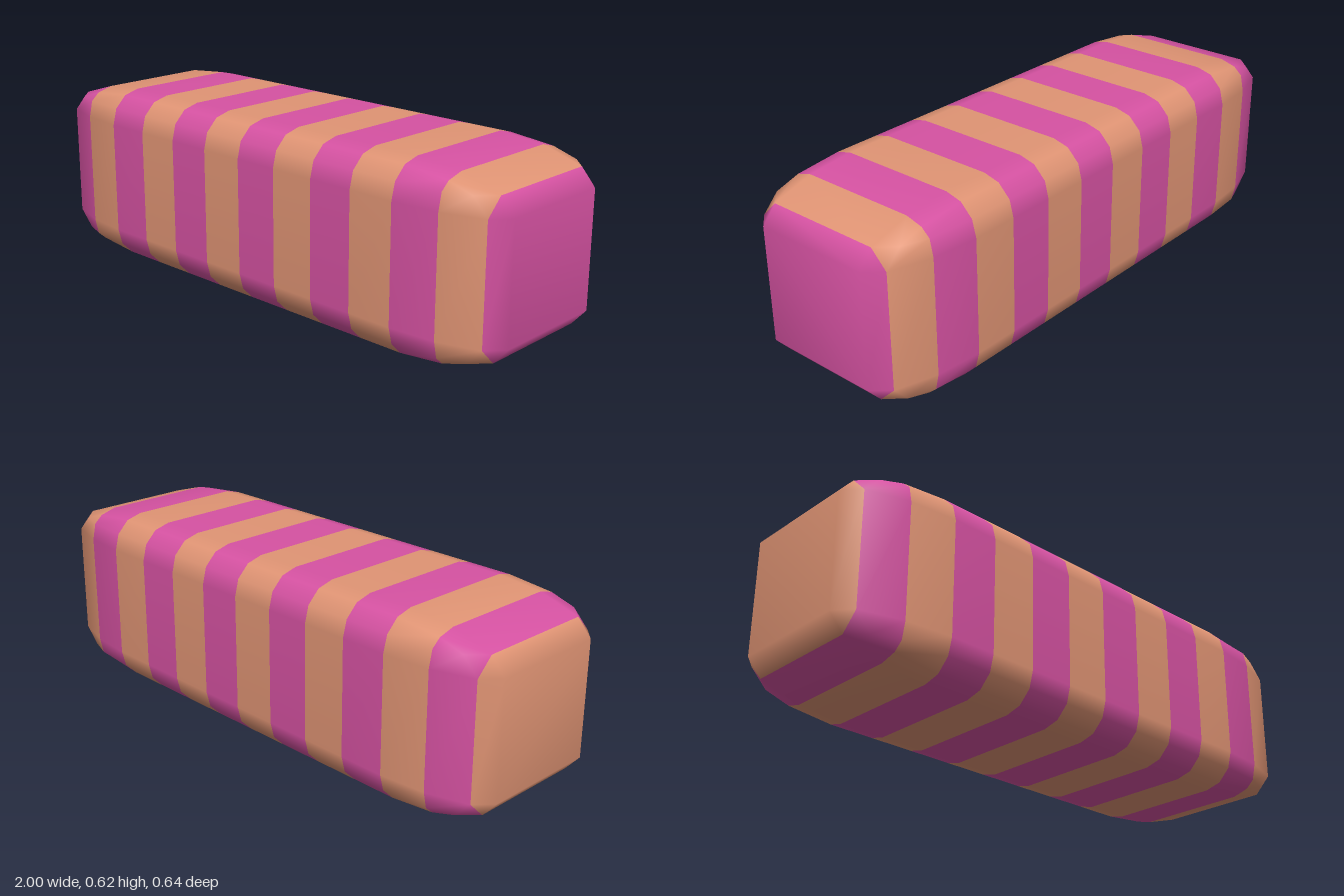
import * as THREE from 'three';
import { mergeVertices } from 'three/addons/utils/BufferGeometryUtils.js';

// Half sizes of the flat faces, and the reach of the rounded corners beyond them
const FLAT_Y = 0.197, FLAT_Z = 0.205, ROUND = 0.115, STRIPE = 0.1625;

// Corner cross-sections from the end face inwards: [x, z offset, y offset] with offsets in units of ROUND
const A = [0.95, 0.5, 0], B = [0.95, 0, 0.5], C = [0.895, 0.5, 0.5];
const fullCorner = (x) => [[x, 1, 0], [x, 0.87, 0.5], [x, 0.5, 0.87], [x, 0, 1]];
const endCorners = [
  Array(4).fill([1, 0, 0]),
  [A, A, B, B],
  [A, C, C, B],
  [[0.81, 0.87, 0], [0.81, 0.76, 0.5], [0.81, 0.5, 0.73], [0.81, 0, 0.87]],
];

// Mirrors one corner into a closed 16-point ring
function ring(corner, sx = 1) {
  const points = [];
  for (const [sz, sy] of [[1, 1], [-1, 1], [-1, -1], [1, -1]]) {
    const list = sz * sy > 0 ? corner : [...corner].reverse();
    for (const [x, dz, dy] of list) {
      points.push(new THREE.Vector3(
        x * sx, 0.31 + sy * (FLAT_Y + dy * ROUND), sz * (FLAT_Z + dz * ROUND)));
    }
  }
  return points;
}

export function createModel() {
  const orange = new THREE.MeshStandardMaterial({ color: 0xe09474 });
  orange.name = 'soft orange';
  const pink = new THREE.MeshStandardMaterial({ color: 0xd652a2 });
  pink.name = 'pink';

  // Rings along the bar, from -x to +x, with the colour of the band that follows each
  const bands = [];
  [0, 1, 1, 0].forEach((color, i) => bands.push({ ring: ring(endCorners[i], -1), color }));
  for (let k = -4; k <= 4; k++) {
    bands.push({ ring: ring(fullCorner(k * STRIPE)), color: k % 2 === 0 ? 1 : 0 });
  }
  [0, 0, 1, 1].forEach((color, i) => bands.push({ ring: ring(endCorners[3 - i]), color }));

  const positions = [];
  const geometry = new THREE.BufferGeometry();
  const triangle = new THREE.Triangle();
  const face = (a, b, c) => {
    if (triangle.set(a, b, c).getArea() < 1e-7) return;
    for (const p of [a, b, c]) positions.push(p.x, p.y, p.z);
  };
  const group = (color, build) => {
    const start = positions.length / 3;
    build();
    geometry.addGroup(start, positions.length / 3 - start, color);
  };

  // Striped bands
  for (let i = 0; i < bands.length - 1; i++) {
    const r0 = bands[i].ring, r1 = bands[i + 1].ring;
    group(bands[i].color, () => {
      for (let j = 0; j < 16; j++) {
        const n = (j + 1) % 16;
        face(r0[j], r1[j], r1[n]);
        face(r0[j], r1[n], r0[n]);
      }
    });
  }

  // Flat end faces
  const [first, last] = [bands[0].ring, bands[bands.length - 1].ring];
  group(0, () => {
    face(first[0], first[4], first[8]);
    face(first[0], first[8], first[12]);
  });
  group(1, () => {
    face(last[0], last[8], last[4]);
    face(last[0], last[12], last[8]);
  });

  // Shared vertices give the soft shading
  geometry.setAttribute('position', new THREE.Float32BufferAttribute(positions, 3));
  const smooth = mergeVertices(geometry);
  smooth.computeVertexNormals();

  const bar = new THREE.Mesh(smooth, [orange, pink]);
  bar.name = 'stripedBar';
  const model = new THREE.Group();
  model.name = 'roundedStripedBar';
  model.add(bar);
  return model;
}
